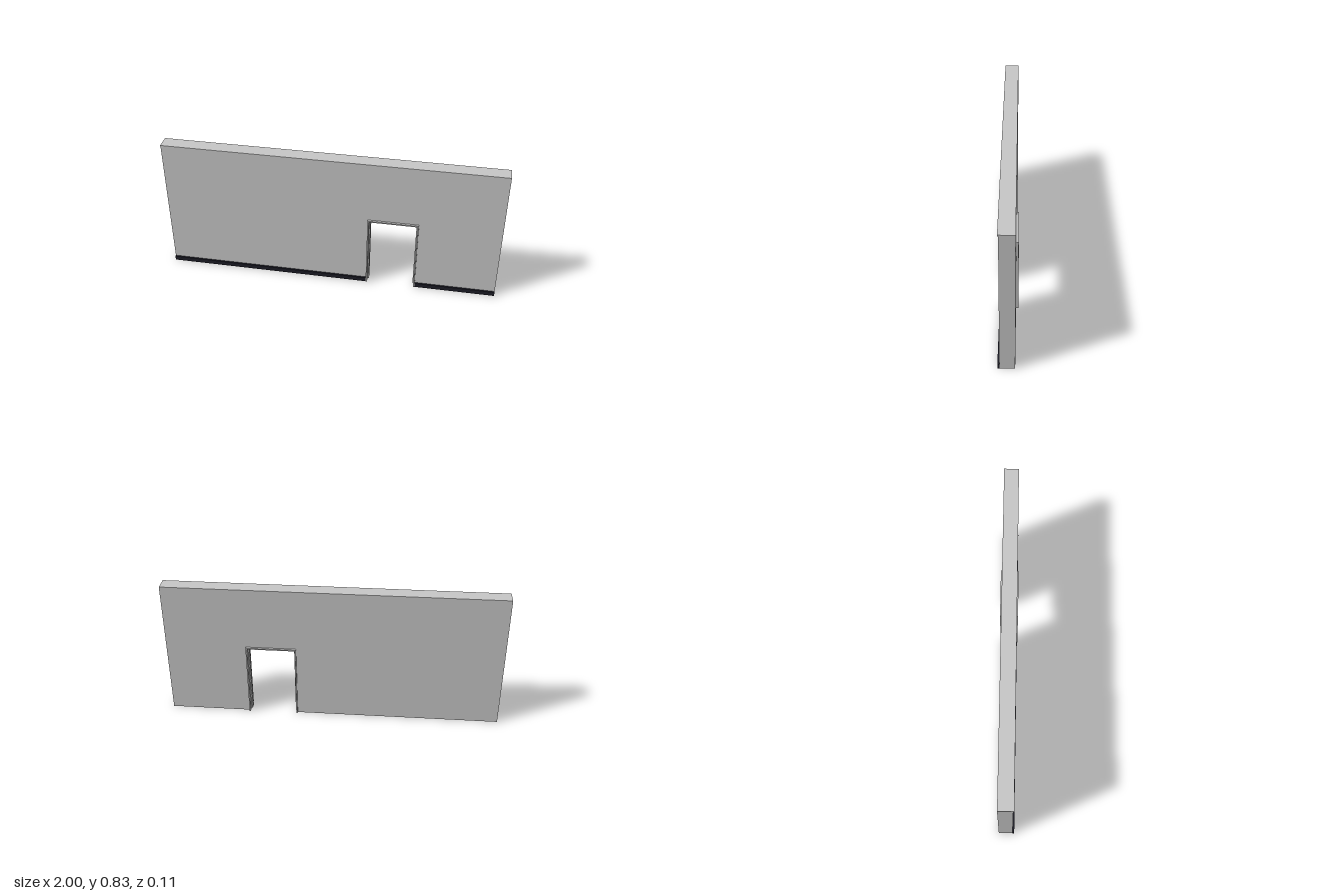
import * as THREE from 'three';

const wallMat = new THREE.MeshStandardMaterial({ color: 0xc8c8c8 });
wallMat.name = 'wall grey';
const frameMat = new THREE.MeshStandardMaterial({ color: 0xbcbcbc });
frameMat.name = 'frame grey';
const baseMat = new THREE.MeshStandardMaterial({ color: 0x1c1c26 });
baseMat.name = 'skirting black';

// Doorway outline
const L = 0.22, R = 0.52, TOP = 0.457, HEIGHT = 0.835;

// Upside-down U: outer rectangle with an opening cut up from the floor
function archShape(x0, x1, top, a, b, inner) {
  return new THREE.Shape([
    [x0, 0], [a, 0], [a, inner], [b, inner], [b, 0], [x1, 0], [x1, top], [x0, top],
  ].map(([x, y]) => new THREE.Vector2(x, y)));
}

function slab(name, shape, z0, z1, material) {
  const geometry = new THREE.ExtrudeGeometry(shape, { depth: z1 - z0, bevelEnabled: false });
  const mesh = new THREE.Mesh(geometry.translate(0, 0, z0), material);
  mesh.name = name;
  return mesh;
}

function box(name, x0, x1, y0, y1, z0, z1, material) {
  const mesh = new THREE.Mesh(new THREE.BoxGeometry(x1 - x0, y1 - y0, z1 - z0), material);
  mesh.position.set((x0 + x1) / 2, (y0 + y1) / 2, (z0 + z1) / 2);
  mesh.name = name;
  return mesh;
}

export function createModel() {
  const model = new THREE.Group();
  model.name = 'wallWithDoorway';

  // Wall with the doorway cut out
  model.add(slab('wall', archShape(-1, 1, HEIGHT, L, R, TOP), -0.041, 0.041, wallMat));

  // Door lining, proud of the wall on both sides, with a stop around the middle
  const t = 0.008, s = 0.015;
  const frame = new THREE.Group();
  frame.name = 'doorFrame';
  frame.add(
    slab('lining', archShape(L, R, TOP, L + t, R - t, TOP - t), -0.054, 0.054, frameMat),
    slab('doorStop', archShape(L + t, R - t, TOP - t, L + s, R - s, TOP - s), -0.016, 0.016, frameMat),
  );
  model.add(frame);

  // Thin trim along the top of the front face
  model.add(box('topTrim', -1, 1, 0.828, HEIGHT, 0.041, 0.046, wallMat));

  // Skirting on either side of the doorway
  for (const [name, x0, x1] of [['rightSkirting', -1, L], ['leftSkirting', R, 1]]) {
    model.add(box(name, x0, x1, 0, 0.027, 0.041, 0.051, baseMat));
  }
  return model;
}
